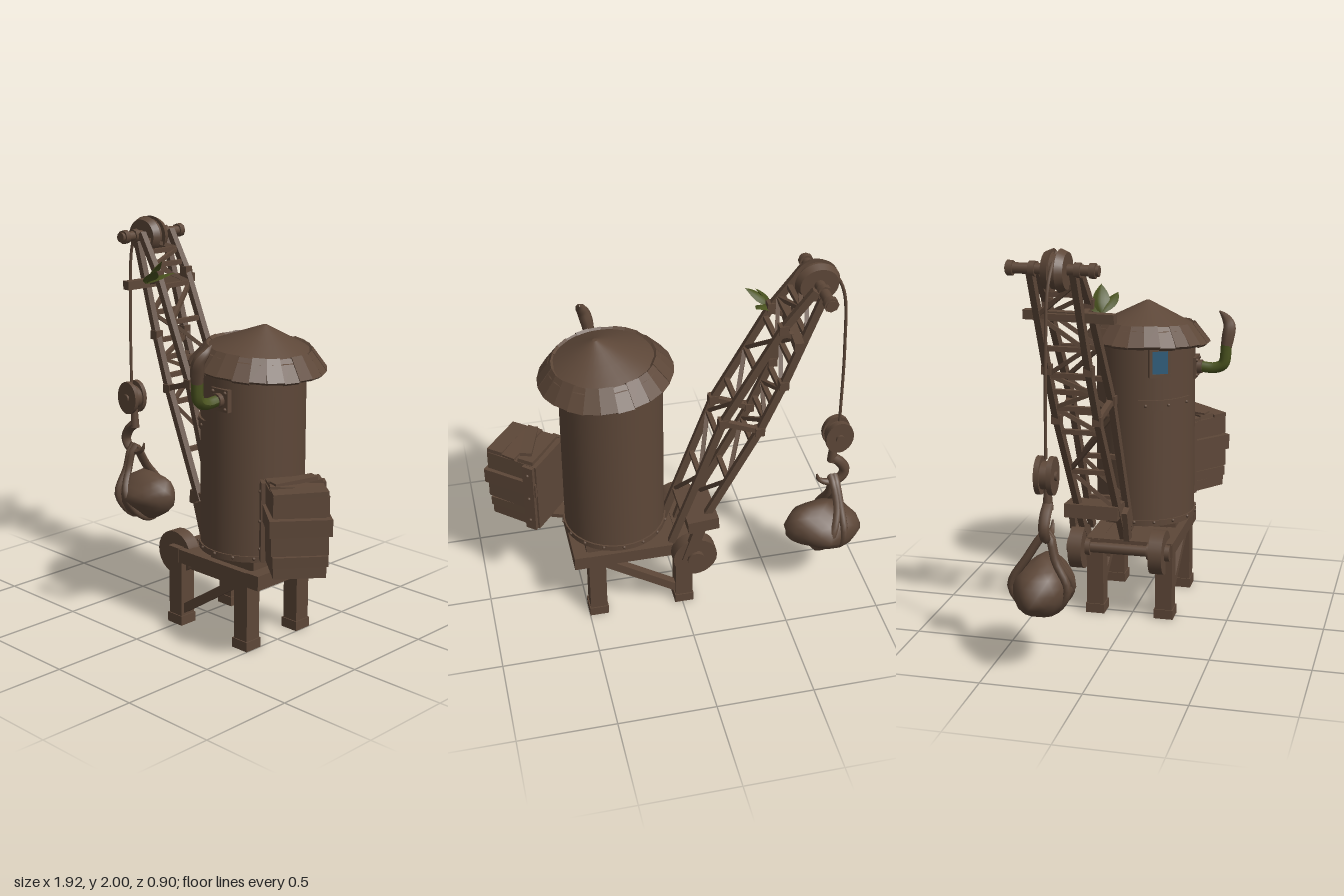
import * as THREE from 'three';
import { mergeVertices } from 'three/addons/utils/BufferGeometryUtils.js';

const V = (x, y, z) => new THREE.Vector3(x, y, z);

export function createModel() {
  const root = new THREE.Group();
  const timber = new THREE.MeshStandardMaterial({ name: 'timber', color: 0x5d4738 });
  const moss = new THREE.MeshStandardMaterial({ name: 'moss', color: 0x4a531f, side: THREE.DoubleSide });
  const glass = new THREE.MeshStandardMaterial({ name: 'glass', color: 0x2d5c7a });

  const group = (name, parent = root) => {
    const g = new THREE.Group();
    g.name = name;
    parent.add(g);
    return g;
  };
  const add = (parent, name, geo, x = 0, y = 0, z = 0, mat = timber) => {
    const m = new THREE.Mesh(geo, mat);
    m.name = name;
    m.position.set(x, y, z);
    parent.add(m);
    return m;
  };
  const box = (parent, name, w, h, d, x, y, z) => add(parent, name, new THREE.BoxGeometry(w, h, d), x, y, z);
  // Cylinder lying along z
  const disc = (parent, name, r, len, x, y, z, sides = 24) =>
    add(parent, name, new THREE.CylinderGeometry(r, r, len, sides).rotateX(Math.PI / 2), x, y, z);
  // Square bar between two points
  const beam = (parent, name, a, b, w, h = w) => {
    const m = add(parent, name, new THREE.BoxGeometry(w, h, a.distanceTo(b)));
    m.position.copy(a).add(b).multiplyScalar(0.5);
    m.lookAt(b);
    return m;
  };
  // Round tube whose radius follows a rule along its length
  const tube = (parent, name, pts, radius, mat = timber, closed = false) => {
    const curve = new THREE.CatmullRomCurve3(pts, closed), n = 32, sides = 8;
    const geo = new THREE.TubeGeometry(curve, n, 1, sides, closed);
    const p = geo.attributes.position, v = V();
    for (let i = 0; i < p.count; i++) {
      const t = Math.floor(i / (sides + 1)) / n, c = curve.getPointAt(t);
      v.fromBufferAttribute(p, i).sub(c).multiplyScalar(radius(t)).add(c);
      p.setXYZ(i, v.x, v.y, v.z);
    }
    geo.computeVertexNormals();
    return add(parent, name, geo, 0, 0, 0, mat);
  };

  // Timber stand
  const stand = group('stand');
  for (const x of [-0.01, 0.45]) for (const z of [0.175, -0.19]) {
    box(stand, 'leg', 0.088, 0.41, 0.088, x, 0.205, z);
    box(stand, 'foot', 0.1, 0.05, 0.1, x, 0.025, z);
  }
  for (const z of [0.18, -0.195]) {
    box(stand, 'sideBeam', 0.58, 0.07, 0.08, 0.23, 0.375, z);
    box(stand, 'lowerBeam', 0.46, 0.04, 0.04, 0.25, 0.31, z * 0.75);
    beam(stand, 'brace', V(0.02, 0.08, z), V(0.43, 0.35, z), 0.045);
  }
  for (const x of [-0.02, 0.53]) box(stand, 'endBeam', 0.075, 0.075, 0.46, x, 0.377, -0.008);
  box(stand, 'deck', 0.56, 0.045, 0.4, 0.25, 0.385, -0.008);
  for (const x of [0.1, 0.38]) box(stand, 'crossBeam', 0.05, 0.05, 0.36, x, 0.335, -0.008);
  box(stand, 'turntable', 0.29, 0.07, 0.38, 0.355, 0.435, -0.008);

  // Round cabin
  const cabin = group('cabin');
  cabin.position.set(0.315, 0, -0.005);
  add(cabin, 'wall', new THREE.CylinderGeometry(0.257, 0.26, 0.99, 32), 0, 0.96, 0);
  add(cabin, 'baseRing', new THREE.CylinderGeometry(0.268, 0.268, 0.03, 32), 0, 0.475, 0);
  const onWall = (name, angle, y, r) => {
    const g = group(name, cabin);
    g.position.set(Math.sin(angle) * r, y, Math.cos(angle) * r);
    g.rotation.y = angle;
    return g;
  };
  for (let i = 0; i < 16; i++)
    add(onWall('rivet', (i * Math.PI) / 8, 0.48, 0.268), 'rivetHead', new THREE.SphereGeometry(0.009, 8, 6));
  // Curved plate riveted on the wall
  add(cabin, 'patch', new THREE.CylinderGeometry(0.268, 0.268, 0.055, 12, 1, false, -1.5, 1.15), 0, 1.105, 0);
  for (const a of [-1.35, -0.9, -0.45])
    add(onWall('patchRivet', a, 1.105, 0.268), 'rivetHead', new THREE.SphereGeometry(0.009, 8, 6));
  // Window with frame, turned towards the boom
  const win = onWall('window', -1.08, 1.33, 0.26);
  add(win, 'pane', new THREE.BoxGeometry(0.085, 0.12, 0.008), 0, 0, 0.008, glass);
  for (const s of [-1, 1]) {
    box(win, 'frameSide', 0.015, 0.15, 0.03, s * 0.049, 0, 0);
    box(win, 'frameRail', 0.112, 0.018, 0.034, 0, s * 0.068, 0);
  }

  // Roof: shallow cone with an off-centre peak over a ring of shingles
  const roof = group('roof');
  roof.position.set(0.345, 1.48, -0.01);
  roof.rotation.z = -0.075;
  const cone = new THREE.CylinderGeometry(0.012, 0.278, 0.13, 32, 4);
  const cp = cone.attributes.position;
  for (let i = 0; i < cp.count; i++) cp.setX(i, cp.getX(i) + 0.03 * (cp.getY(i) / 0.13 + 0.5));
  add(roof, 'cone', cone, 0, 0.048, 0);
  add(roof, 'ceiling', new THREE.CylinderGeometry(0.27, 0.29, 0.03, 32), 0, -0.03, 0);
  const shingle = new THREE.BoxGeometry(0.083, 0.125, 0.022);
  const sp = shingle.attributes.position;
  for (let i = 0; i < sp.count; i++) if (sp.getY(i) > 0) sp.setX(i, sp.getX(i) * 0.82);
  for (let i = 0; i < 25; i++) {
    const a = (i / 25) * Math.PI * 2;
    const m = add(roof, 'shingle', shingle, Math.sin(a) * 0.286, -0.047 + 0.003 * Math.sin(i * 2.3), Math.cos(a) * 0.286);
    m.rotation.set(-0.68, a, 0.03 * Math.sin(i * 1.7), 'YXZ');
  }

  // Bent chimney pipe with wall flange
  const pipe = group('chimneyPipe');
  box(pipe, 'flange', 0.11, 0.11, 0.03, 0.345, 1.26, 0.25);
  for (const x of [-1, 1]) for (const y of [-1, 1])
    add(pipe, 'bolt', new THREE.SphereGeometry(0.009, 8, 6), 0.345 + x * 0.04, 1.26 + y * 0.04, 0.266);
  disc(pipe, 'collar', 0.036, 0.03, 0.345, 1.26, 0.275, 14);
  tube(pipe, 'mossyElbow', [V(0.345, 1.26, 0.28), V(0.345, 1.257, 0.355), V(0.345, 1.28, 0.4), V(0.347, 1.38, 0.414)],
    () => 0.029, moss);
  tube(pipe, 'curledEnd', [V(0.347, 1.37, 0.413), V(0.355, 1.42, 0.42), V(0.37, 1.475, 0.424), V(0.39, 1.515, 0.4), V(0.395, 1.548, 0.366)],
    t => 0.029 + 0.006 * Math.sin(Math.PI * t) - 0.026 * t ** 3);

  // Crate hung beside the cabin
  const crate = group('crate');
  crate.position.set(0.747, 0, 0.155);
  crate.rotation.y = -0.69;
  const rows = [[0.515, 0.06, 0.25], [0.572, 0.056, 0.262], [0.65, 0.098, 0.27], [0.742, 0.086, 0.296], [0.838, 0.105, 0.264]];
  rows.forEach(([y, h, w], i) => {
    const m = box(crate, 'plankRow', w + 0.01, h - 0.004, w, 0, y, 0);
    m.rotation.set(0, 0.02 * Math.sin(i * 2.1), 0.015 * Math.cos(i * 3));
  });
  box(crate, 'core', 0.24, 0.4, 0.24, 0, 0.69, 0);
  for (const z of [-1, 1]) {
    box(crate, 'cornerStrap', 0.06, 0.4, 0.02, -0.115, 0.69, z * 0.145);
    for (const y of [0.55, 0.69, 0.84])
      add(crate, 'strapRivet', new THREE.SphereGeometry(0.009, 8, 6), -0.115, y, z * 0.156);
  }
  box(crate, 'backBoard', 0.02, 0.4, 0.27, -0.145, 0.69, 0);
  [[-0.085, 0.04], [0.01, -0.05], [0.095, 0.03]].forEach(([x, r]) => {
    box(crate, 'lidPlank', 0.085, 0.022, 0.26, x, 0.897, 0).rotation.set(r, r, 0);
  });
  box(crate, 'loosePlank', 0.06, 0.02, 0.23, -0.03, 0.917, 0.01).rotation.set(0.03, 0.4, 0);
  box(root, 'crateShelf', 0.24, 0.022, 0.1, 0.67, 0.48, 0.12).rotation.set(0, -0.4, -0.03);

  // Lattice boom: four bent chords and lacing
  const boom = group('boom');
  const zAt = (x, front) => (front ? -0.03 : -0.235) + 0.13 * (x - 0.05);
  const at = ([x, y], front) => V(x, y, zAt(x, front));
  const outer = [[-0.03, 0.42], [-0.37, 1.13], [-0.475, 1.4], [-0.645, 1.9]];
  const inner = [[0.06, 0.44], [-0.19, 1.19], [-0.46, 1.72], [-0.6, 1.92]];
  const sample = (line, t) => {
    const s = Math.min(t * 3, 2.999), i = Math.floor(s), f = s - i;
    return [0, 1].map(k => line[i][k] * (1 - f) + line[i + 1][k] * f);
  };
  for (const front of [true, false]) {
    for (const line of [outer, inner])
      for (let i = 0; i < 3; i++) beam(boom, 'chord', at(line[i], front), at(line[i + 1], front), 0.032, 0.036);
    beam(boom, 'sideStrut', at(outer[1], front), at(inner[1], front), 0.028);
    beam(boom, 'topStrut', at([-0.56, 1.66], front), at([-0.45, 1.7], front), 0.026);
    for (const line of [outer, inner]) for (const i of [1, 2])
      box(boom, 'jointPlate', 0.046, 0.046, 0.045, line[i][0], line[i][1], zAt(line[i][0], front));
  }
  for (const line of [outer, inner]) for (let i = 0; i < 8; i++) {
    const a = sample(line, 0.08 + i * 0.11), b = sample(line, 0.08 + (i + 1) * 0.11);
    beam(boom, 'crossBar', at(a, true), at(a, false), 0.024);
    beam(boom, 'lacing', at(a, i % 2 === 0), at(b, i % 2 === 1), 0.02);
  }
  box(boom, 'crossTree', 0.045, 0.045, 0.45, -0.53, 1.67, -0.175).rotation.y = -0.08;

  // Winch wheels and housing at the boom foot
  const winch = group('winch');
  for (const z of [0.15, -0.27]) {
    disc(winch, 'wheel', 0.115, 0.07, -0.052, 0.365, z);
    disc(winch, 'hub', 0.045, 0.12, -0.052, 0.365, z, 16);
  }
  disc(winch, 'axle', 0.03, 0.5, -0.052, 0.365, -0.06, 14);
  box(winch, 'winchHousing', 0.16, 0.07, 0.28, -0.09, 0.585, -0.18).rotation.z = -0.08;
  for (const z of [-0.02, -0.3]) box(winch, 'bracket', 0.06, 0.24, 0.03, -0.045, 0.47, z).rotation.z = 0.3;

  // Pulley at the boom tip
  const pulley = group('tipPulley');
  disc(pulley, 'axle', 0.026, 0.44, -0.64, 1.905, -0.22, 14);
  for (const [z, s] of [[-0.165, 1], [-0.235, -1]]) {
    const rim = add(pulley, 'flange', new THREE.CylinderGeometry(0.085, 0.1, 0.035, 28), -0.64, 1.9, z);
    rim.rotation.x = (s * Math.PI) / 2;
    rim.scale.x = 1.1;
  }
  disc(pulley, 'sheave', 0.085, 0.08, -0.64, 1.9, -0.2);
  for (const z of [-0.03, -0.1, -0.315, -0.42]) disc(pulley, 'collar', 0.036, 0.03, -0.64, 1.905, z, 8);

  // Rope, block and hook
  const tackle = group('tackle');
  tube(tackle, 'rope', [V(-0.65, 1.985, -0.2), V(-0.73, 1.92, -0.2), V(-0.78, 1.82, -0.205), V(-0.805, 1.5, -0.21), V(-0.81, 1.06, -0.215)],
    () => 0.008);
  for (const z of [-0.185, -0.245]) disc(tackle, 'blockCheek', 0.073, 0.025, -0.805, 0.98, z).scale.y = 1.25;
  disc(tackle, 'blockSheave', 0.065, 0.05, -0.805, 0.98, -0.215);
  disc(tackle, 'blockPin', 0.022, 0.11, -0.805, 0.98, -0.215, 12);
  add(tackle, 'shank', new THREE.CylinderGeometry(0.018, 0.026, 0.1, 12), -0.787, 0.86, -0.215);
  tube(tackle, 'hook', [V(-0.785, 0.83, -0.215), V(-0.83, 0.795, -0.215), V(-0.86, 0.735, -0.215), V(-0.835, 0.685, -0.215),
    V(-0.775, 0.67, -0.215), V(-0.725, 0.695, -0.215), V(-0.71, 0.735, -0.215)], t => 0.028 - 0.024 * t ** 3);

  // Boulder in a rope sling
  const load = group('load');
  const rock = mergeVertices(new THREE.IcosahedronGeometry(1, 3).deleteAttribute('uv').deleteAttribute('normal'));
  const rp = rock.attributes.position;
  for (let i = 0; i < rp.count; i++) {
    const v = V().fromBufferAttribute(rp, i);
    // Blend towards an octahedral form for blunt corners
    const l1 = Math.abs(v.x) + Math.abs(v.y) + Math.abs(v.z);
    const k = 0.72 + 0.3 / l1 + 0.05 * Math.sin(v.x * 4 + 1) * Math.cos(v.y * 5) + 0.03 * Math.sin(v.z * 5 + v.x * 3);
    rp.setXYZ(i, v.x * k * 0.217, v.y * k * 0.142, v.z * k * 0.155);
  }
  rock.computeVertexNormals();
  add(load, 'boulder', rock, -0.745, 0.42, -0.255).rotation.z = 0.16;
  const sling = (top, side, bottom) => tube(load, 'sling', [V(top, 0.7, -0.215), V(top - 0.01, 0.57, -0.175), V(side, 0.43, -0.115),
    V(bottom, 0.305, -0.2), V(bottom, 0.305, -0.3), V(side, 0.43, -0.39), V(top - 0.01, 0.57, -0.315)], () => 0.02, timber, true);
  sling(-0.81, -0.825, -0.8);
  sling(-0.79, -0.755, -0.705);

  // Sprig of broad leaves beside the cross tree
  const sprig = group('sprig');
  sprig.position.set(-0.48, 1.68, -0.035);
  [[0.25, -0.2], [-0.4, -0.55], [0.75, -0.75]].forEach(([yaw, lean]) => {
    const geo = new THREE.PlaneGeometry(0.08, 0.14, 4, 8).translate(0, 0.07, 0).rotateY(Math.PI / 2);
    const p = geo.attributes.position;
    for (let i = 0; i < p.count; i++) {
      const t = p.getY(i) / 0.14, z = p.getZ(i) * Math.sin(Math.PI * (0.06 + 0.94 * t));
      p.setXYZ(i, 0.07 * t * t + Math.abs(z) * 0.5, p.getY(i), z);
    }
    geo.computeVertexNormals();
    add(sprig, 'leaf', geo, 0, 0, 0, moss).rotation.set(0, yaw, lean, 'YXZ');
  });
  return root;
}
